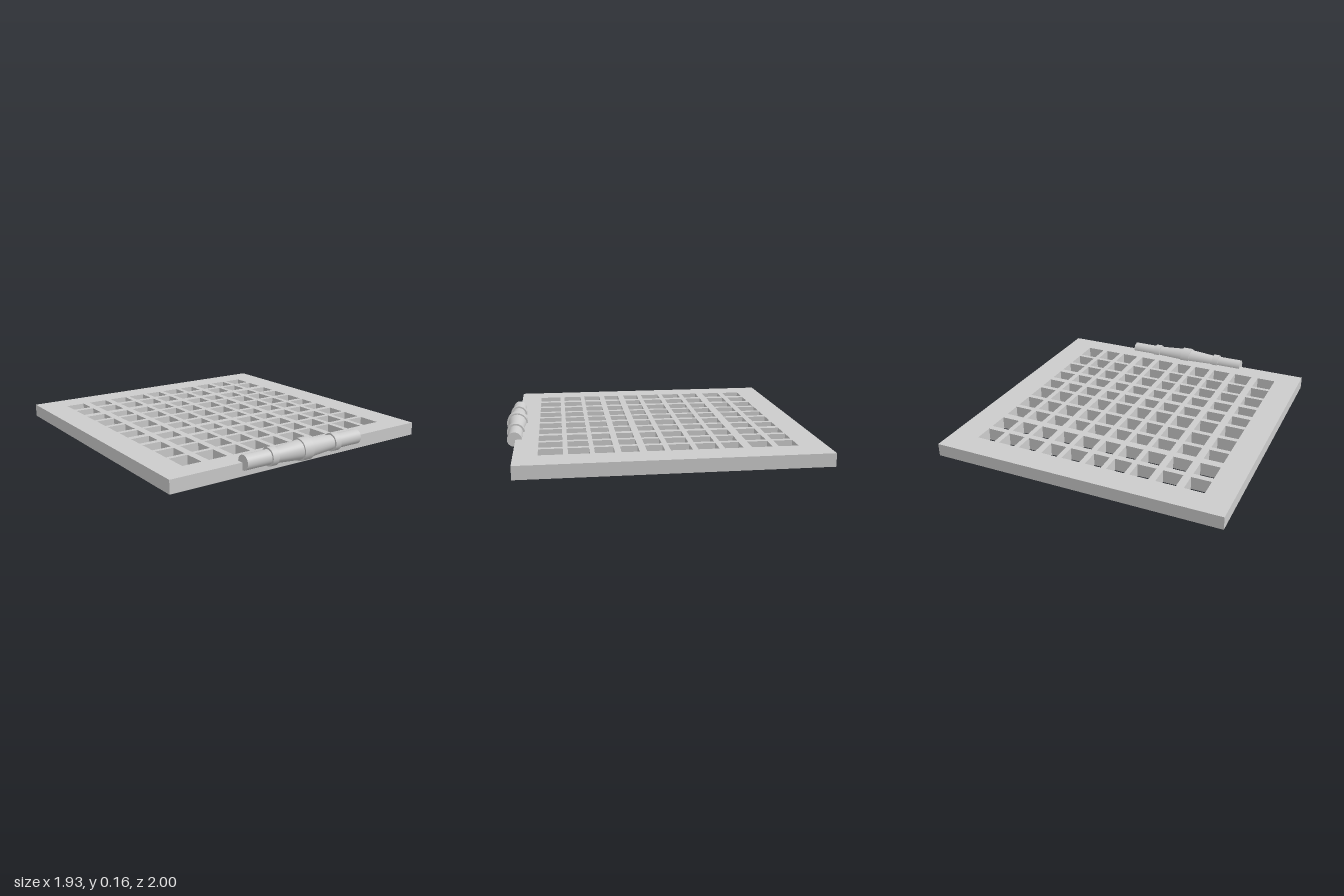
import * as THREE from 'three';

const grey = () => new THREE.MeshStandardMaterial({ color: 0xcccccc, side: THREE.DoubleSide });

function add(group, name, geometry, material = grey()) {
  const mesh = new THREE.Mesh(geometry, material);
  mesh.name = name;
  group.add(mesh);
  return mesh;
}

// start and end of each column and row of openings
const columns = [[-0.79, -0.66], [-0.61, -0.48], [-0.435, -0.31], [-0.275, -0.155], [-0.12, -0.01],
  [0.03, 0.155], [0.19, 0.3], [0.345, 0.465], [0.5, 0.615], [0.65, 0.775]];
const rows = [[-0.825, -0.7], [-0.66, -0.53], [-0.475, -0.36], [-0.325, -0.195], [-0.16, -0.025],
  [0.01, 0.12], [0.165, 0.275], [0.315, 0.435], [0.465, 0.595], [0.625, 0.775]];

function rectangle(path, x0, x1, z0, z1) {
  // shape y becomes -z once the plate is laid flat
  path.moveTo(x0, -z1).lineTo(x1, -z1).lineTo(x1, -z0).lineTo(x0, -z0).closePath();
  return path;
}

export function createModel() {
  const model = new THREE.Group();
  model.name = 'grate';

  // flat plate pierced by a grid of openings
  const outline = rectangle(new THREE.Shape(), -0.965, 0.962, -1, 0.922);
  for (const [x0, x1] of columns)
    for (const [z0, z1] of rows)
      outline.holes.push(rectangle(new THREE.Path(), x0, x1, z0, z1));
  const plate = new THREE.ExtrudeGeometry(outline, { depth: 0.085, bevelEnabled: false });
  plate.rotateX(-Math.PI / 2);
  add(model, 'gratePlate', plate);

  // small triangular web at the bottom of one front opening
  const web = new THREE.Shape();
  web.moveTo(-0.12, -0.625).lineTo(-0.01, -0.625).lineTo(-0.12, -0.775).closePath();
  const webGeometry = new THREE.ShapeGeometry(web);
  webGeometry.rotateX(Math.PI / 2).scale(1, 1, -1);
  add(model, 'cornerWeb', webGeometry);

  // turned handle along the front edge
  const handle = new THREE.Group();
  handle.name = 'handle';
  handle.position.set(-0.03, 0.086, 0.928);
  handle.rotation.z = -Math.PI / 2; // local +y runs along +x
  model.add(handle);

  const turned = (name, rLow, rHigh, from, to) => {
    add(handle, name, new THREE.CylinderGeometry(rHigh, rLow, to - from, 32)).position.y = (from + to) / 2;
  };
  turned('centreBand', 0.071, 0.071, -0.035, 0.035);
  for (const s of [-1, 1]) {
    const part = (name, inner, outer, a, b) =>
      s > 0 ? turned(name, inner, outer, a, b) : turned(name, outer, inner, -b, -a);
    part('taperedGrip', 0.062, 0.047, 0.035, 0.225);
    part('collar', 0.058, 0.058, 0.225, 0.27);
    part('handleEnd', 0.047, 0.047, 0.27, 0.448);
  }
  return model;
}
